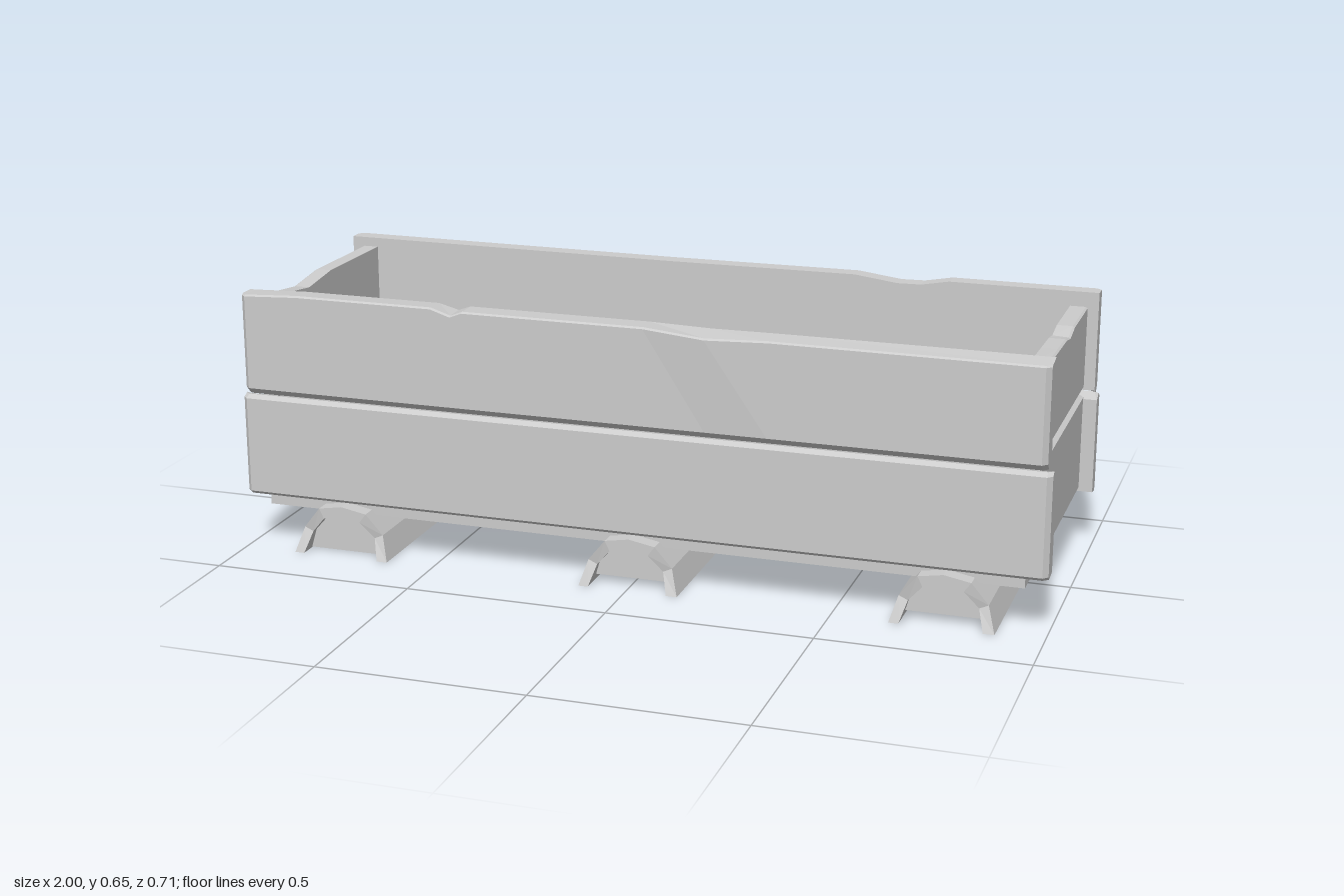
import * as THREE from 'three';

const material = new THREE.MeshStandardMaterial({ color: 0xcccccc, flatShading: true });

// Skin a row of equal-sized rings (counter-clockwise seen from the last one) and cap both ends.
function loft(rings) {
  const pos = [];
  const n = rings[0].length;
  const quad = (a, b, c, d) => [a, b, c, a, c, d].forEach((p) => pos.push(...p));
  for (let i = 0; i < rings.length - 1; i++) {
    for (let j = 0; j < n; j++) {
      const k = (j + 1) % n;
      quad(rings[i][j], rings[i][k], rings[i + 1][k], rings[i + 1][j]);
    }
  }
  const first = rings[0];
  const last = rings[rings.length - 1];
  for (let j = 0; j < n / 2 - 1; j++) {
    quad(last[j], last[j + 1], last[n - 2 - j], last[n - 1 - j]);
    quad(first[n - 1 - j], first[n - 2 - j], first[j + 1], first[j]);
  }
  const geometry = new THREE.BufferGeometry();
  geometry.setAttribute('position', new THREE.Float32BufferAttribute(pos, 3));
  geometry.computeVertexNormals();
  return geometry;
}

function addMesh(parent, name, geometry) {
  const mesh = new THREE.Mesh(geometry, material);
  mesh.name = name;
  parent.add(mesh);
  return mesh;
}

// Bevelled board along x. Stations are [x, outer top height, inner top height, outward bulge].
function board({ y0, inner, outer, stations, bevelLow, bevelHigh, endBevel = 0 }) {
  const rings = stations.map(([x, topOut, topIn, bulge = 0], i) => {
    const end = i === 0 || i === stations.length - 1;
    const out = outer - (end ? endBevel : 0);
    return [
      [x, y0 + bevelLow * 0.6, inner],
      [x, topIn, inner],
      [x, topOut, out - bevelHigh + bulge],
      [x, topOut - bevelHigh * 0.6, out + bulge],
      [x, y0 + bevelLow, out],
      [x, y0, out - bevelLow],
    ];
  });
  if (endBevel) {
    // Full-thickness stations just inside the chamfered ends
    const inset = (ring, dx) => ring.map(([x, y, z], j) => [x + dx, y, j > 1 ? z + endBevel : z]);
    rings.splice(1, 0, inset(rings[0], endBevel));
    rings.splice(-1, 0, inset(rings[rings.length - 1], -endBevel));
  }
  return loft(rings);
}

// Half log: a bark arch with flared feet around a recessed core.
function halfLog(coreBottom) {
  const log = new THREE.Group();
  const outer = [[0.125, 0], [0.105, 0.06], [0.065, 0.113], [0, 0.125], [-0.06, 0.115], [-0.105, 0.06], [-0.122, 0]];
  const inner = [[0.098, 0], [0.083, 0.05], [0.048, 0.09], [0, 0.101], [-0.048, 0.09], [-0.083, 0.05], [-0.098, 0]];
  const profile = [...outer, ...inner.slice().reverse()];
  const barkRing = (side) => profile.map(([x, y]) => {
    const reach = y === 0 ? 0.354 : y < 0.07 ? 0.328 : 0.338;
    return [x, y, side * reach];
  });
  addMesh(log, 'bark', loft([barkRing(-1), barkRing(1)]));

  const core = inner.map(([x, y]) => [x, Math.max(y, coreBottom)]);
  core.push([0, coreBottom]);
  const coreRing = (z) => core.map(([x, y]) => [x, y, z]);
  addMesh(log, 'logCore', loft([coreRing(-0.31), coreRing(0.31)]));
  return log;
}

export function createModel() {
  const model = new THREE.Group();
  model.name = 'planterBox';

  // Base slab and the fill that forms the planting surface
  const base = addMesh(model, 'baseSlab', new THREE.BoxGeometry(1.895, 0.055, 0.6));
  base.position.set(-0.007, 0.1275, 0);
  const fill = addMesh(model, 'soil', new THREE.BoxGeometry(1.87, 0.275, 0.6));
  fill.position.set(0, 0.2875, -0.005);

  // Long lower planks, front and back
  const lower = {
    y0: 0.137, inner: 0.287, outer: 0.344, bevelLow: 0.008, bevelHigh: 0.014, endBevel: 0.012,
    stations: [[-0.997, 0.392, 0.38], [0.998, 0.392, 0.38]],
  };
  addMesh(model, 'frontLowerPlank', board(lower));
  addMesh(model, 'backLowerPlank', board({ ...lower, inner: 0.3, outer: 0.35 })).rotation.y = Math.PI;

  // Long upper planks with worn notches in the rim
  const upper = { y0: 0.394, bevelLow: 0.016, bevelHigh: 0.006, endBevel: 0.012 };
  addMesh(model, 'frontUpperPlank', board({
    ...upper, inner: 0.285, outer: 0.343,
    stations: [
      [-0.99, 0.645, 0.645], [-0.84, 0.652, 0.65], [-0.49, 0.652, 0.65], [-0.44, 0.636, 0.637],
      [-0.41, 0.648, 0.648], [0.04, 0.648, 0.648], [0.19, 0.636, 0.644, 0.008],
      [0.34, 0.64, 0.645], [0.985, 0.638, 0.645],
    ],
  }));
  addMesh(model, 'backUpperPlank', board({
    ...upper, inner: 0.3, outer: 0.351,
    stations: [
      [-0.99, 0.65, 0.65], [-0.62, 0.65, 0.65], [-0.55, 0.637, 0.637], [-0.49, 0.636, 0.636],
      [-0.38, 0.65, 0.65], [0.1, 0.648, 0.648], [0.99, 0.65, 0.65],
    ],
  })).rotation.y = Math.PI;

  // Short end planks, set between the long ones; the upper pair has wavy tops
  const waves = {
    left: [[-0.3, 0.618, 0.62], [-0.1, 0.613, 0.613], [0.0, 0.61, 0.61], [0.05, 0.601, 0.603], [0.11, 0.613, 0.613], [0.31, 0.613, 0.613]],
    right: [[-0.31, 0.626, 0.626], [-0.015, 0.628, 0.628], [0.11, 0.613, 0.613], [0.3, 0.636, 0.637]],
  };
  for (const [side, turn] of [['left', 1], ['right', -1]]) {
    const thickness = { inner: 0.92, outer: 0.963 };
    const low = addMesh(model, side + 'LowerEnd', board({
      ...thickness, y0: 0.148, bevelLow: 0.004, bevelHigh: 0.018,
      stations: [[-0.305, 0.394, 0.394], [0.305, 0.394, 0.394]],
    }));
    const high = addMesh(model, side + 'UpperEnd', board({
      ...thickness, y0: 0.396, bevelLow: 0.016, bevelHigh: 0.005, stations: waves[side],
    }));
    low.rotation.y = high.rotation.y = turn * Math.PI / 2;
  }

  // Three half-log feet
  [[-0.745, 0.002], [0.002, 0.018], [0.76, 0.018]].forEach(([x, coreBottom], i) => {
    const foot = halfLog(coreBottom);
    foot.name = 'logFoot' + (i + 1);
    foot.position.x = x;
    model.add(foot);
  });

  return model;
}
